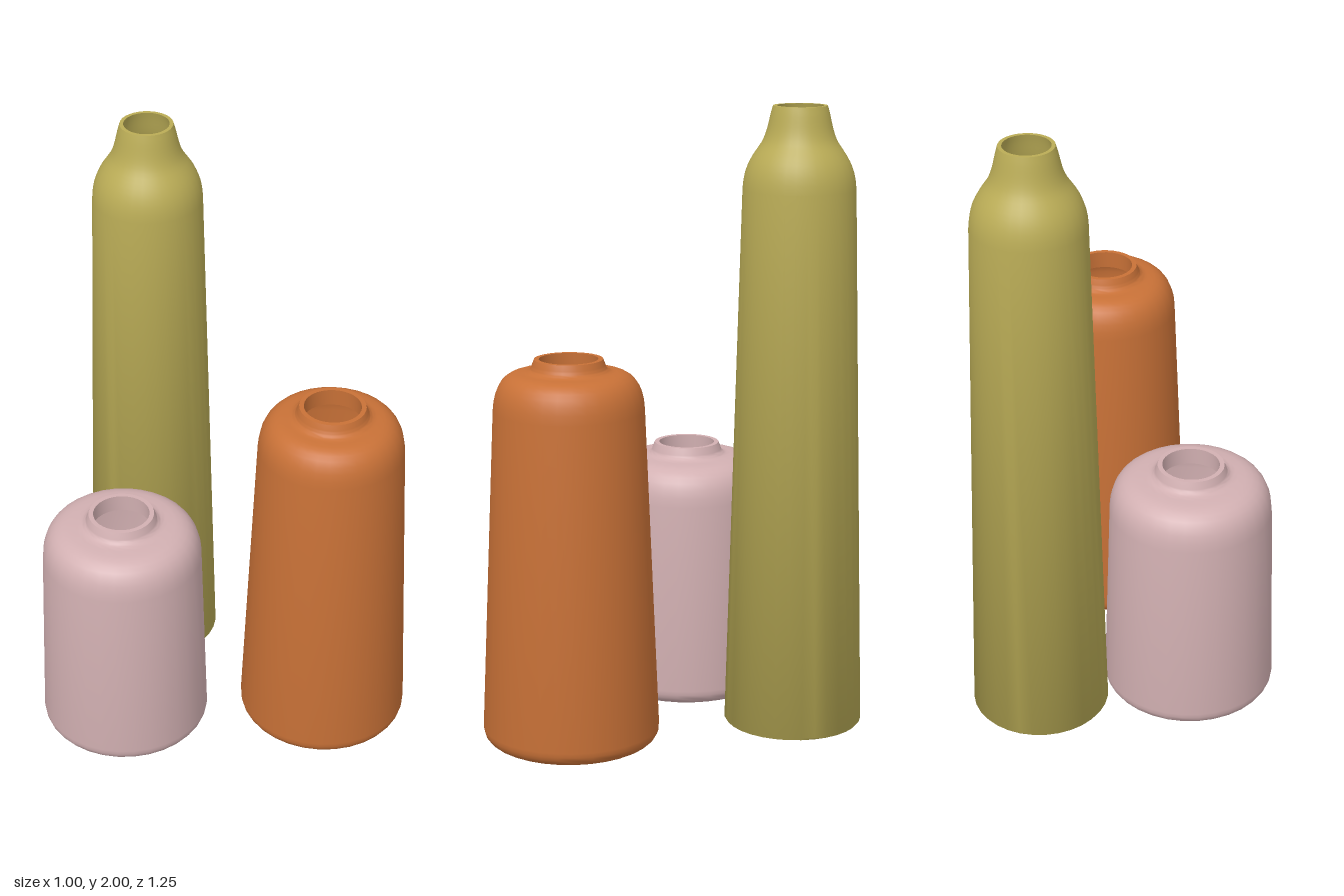
import * as THREE from 'three';
import { toCreasedNormals } from 'three/addons/utils/BufferGeometryUtils.js';

const SIDES = 32;

// Spins an outline, running from the bottom centre over the rim to the inner floor
function makeVase(name, path, color, x, z) {
  const lathe = new THREE.LatheGeometry(path.getPoints(8), SIDES);
  const mesh = new THREE.Mesh(
    toCreasedNormals(lathe, 0.7),
    new THREE.MeshStandardMaterial({ color, side: THREE.DoubleSide })
  );
  mesh.name = name;
  mesh.position.set(x, 0, z);
  return mesh;
}

// Rounded jar: h is the total height, rs the radius where the shoulder starts at height ys
function jarPath(h, rs, ys) {
  const p = new THREE.Path();
  const yt = h - 0.042; // top of the shoulder
  p.moveTo(0, 0);
  p.lineTo(0.21, 0);
  p.bezierCurveTo(0.25, 0.002, 0.28, 0.015, 0.28, 0.055); // rounded foot
  p.lineTo(rs, ys);
  p.bezierCurveTo(rs - 0.004, yt - 0.035, rs - 0.04, yt, 0.15, yt); // shoulder
  p.quadraticCurveTo(0.118, yt + 0.002, 0.114, h - 0.018); // fillet into the neck
  p.lineTo(0.107, h);
  p.lineTo(0.092, h); // rim
  p.lineTo(0.094, yt - 0.015); // inside of the neck
  p.bezierCurveTo(rs - 0.06, yt - 0.018, rs - 0.02, yt - 0.05, rs - 0.02, ys);
  p.lineTo(0.26, 0.06);
  p.quadraticCurveTo(0.255, 0.02, 0.21, 0.02);
  p.lineTo(0, 0.02);
  return p;
}

// Tall bottle with a tapering body and a soft S-shaped neck
function bottlePath() {
  const p = new THREE.Path();
  p.moveTo(0, 0);
  p.lineTo(0.217, 0);
  p.lineTo(0.223, 0.008);
  p.lineTo(0.178, 1.74);
  p.bezierCurveTo(0.174, 1.82, 0.142, 1.85, 0.12, 1.885); // shoulder
  p.bezierCurveTo(0.1, 1.92, 0.098, 1.96, 0.085, 2); // neck
  p.lineTo(0.073, 2); // rim
  p.bezierCurveTo(0.086, 1.96, 0.088, 1.92, 0.106, 1.885);
  p.bezierCurveTo(0.128, 1.85, 0.16, 1.82, 0.164, 1.74);
  p.lineTo(0.205, 0.02);
  p.lineTo(0, 0.02);
  return p;
}

export function createModel() {
  const group = new THREE.Group();
  group.name = 'vaseSet';
  group.add(
    makeVase('shortVase', jarPath(0.845, 0.262, 0.68), 0xd2b0b2, -0.222, -0.17),
    makeVase('mediumVase', jarPath(1.24, 0.236, 1.08), 0xc87137, 0.222, 0.342),
    makeVase('tallVase', bottlePath(), 0xbaac56, 0.222, -0.403)
  );
  return group;
}
